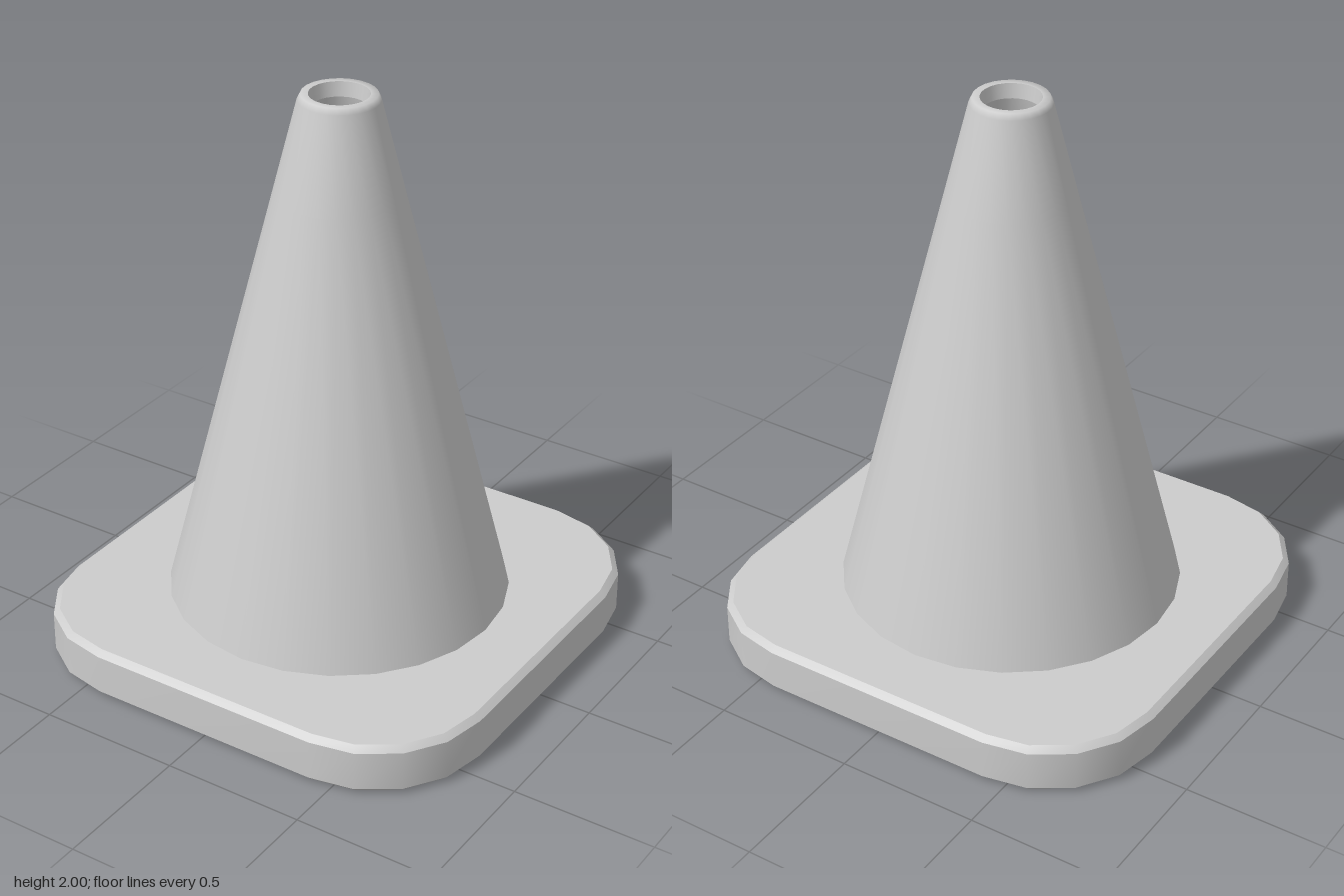
import * as THREE from 'three';
import { toCreasedNormals } from 'three/addons/utils/BufferGeometryUtils.js';

const SIDES = 24;
const BASE_TOP = 0.18;
const CONE_R = 0.592;
const v = (x, y) => new THREE.Vector2(x, y);

// Rounded-square outline: four corner arcs of four segments each
function outline(halfWidth) {
  const centre = 0.425, r = halfWidth - centre, pts = [];
  for (let q = 0; q < 4; q++) {
    const a0 = q * Math.PI / 2;
    const cx = centre * (q === 0 || q === 3 ? 1 : -1);
    const cy = centre * (q < 2 ? 1 : -1);
    for (let i = 0; i <= 4; i++) {
      const a = a0 + i * Math.PI / 8;
      pts.push(v(cx + r * Math.cos(a), cy + r * Math.sin(a)));
    }
  }
  return pts;
}

// Flat plate face with the round opening for the cone
function plateFace(halfWidth, y, up) {
  const shape = new THREE.Shape(outline(halfWidth));
  const hole = [];
  for (let i = 0; i < SIDES; i++) {
    const a = -i * 2 * Math.PI / SIDES;
    hole.push(v(CONE_R * Math.cos(a), CONE_R * Math.sin(a)));
  }
  shape.holes.push(new THREE.Path(hole));
  return new THREE.ShapeGeometry(shape).rotateX(up ? -Math.PI / 2 : Math.PI / 2).translate(0, y, 0);
}

// Plate edge lofted through [halfWidth, y] rings, with chamfers top and bottom
function plateEdge(rings) {
  const pos = [], index = [];
  const n = outline(1).length;
  for (const [w, y] of rings) for (const p of outline(w)) pos.push(p.x, y, -p.y);
  for (let k = 0; k < rings.length - 1; k++) {
    for (let i = 0; i < n; i++) {
      const a = k * n + i, b = k * n + (i + 1) % n;
      index.push(a, b, b + n, a, b + n, a + n);
    }
  }
  const g = new THREE.BufferGeometry();
  g.setAttribute('position', new THREE.Float32BufferAttribute(pos, 3));
  g.setIndex(index);
  return toCreasedNormals(g, 0.5);
}

export function createModel() {
  const model = new THREE.Group();
  model.name = 'trafficCone';
  const grey = new THREE.MeshStandardMaterial({ color: 0xcccccc });
  grey.name = 'lightGrey';

  const add = (parent, name, geometry) => {
    const mesh = new THREE.Mesh(geometry, grey);
    mesh.name = name;
    parent.add(mesh);
  };

  // Base plate
  const base = new THREE.Group();
  base.name = 'base';
  model.add(base);
  add(base, 'baseEdge', plateEdge([[0.803, 0], [0.825, 0.02], [0.825, 0.16], [0.803, BASE_TOP]]));
  add(base, 'baseTop', plateFace(0.803, BASE_TOP, true));
  add(base, 'baseUnderside', plateFace(0.803, 0, false));

  // Hollow cone: outer skin with soft rim, stepped lip, inner skin
  const cone = new THREE.Group();
  cone.name = 'cone';
  model.add(cone);
  const lathe = (...pts) => new THREE.LatheGeometry(pts.map(p => v(...p)), SIDES);
  add(cone, 'coneOuter', lathe([CONE_R, BASE_TOP], [0.216, 1.66], [0.135, 1.98], [0.125, 2], [0.1, 2]));
  add(cone, 'coneLip', lathe([0.1, 2], [0.093, 1.95]));
  add(cone, 'coneInner', lathe([0.093, 1.95], [0.555, BASE_TOP], [CONE_R, 0]));

  return model;
}
